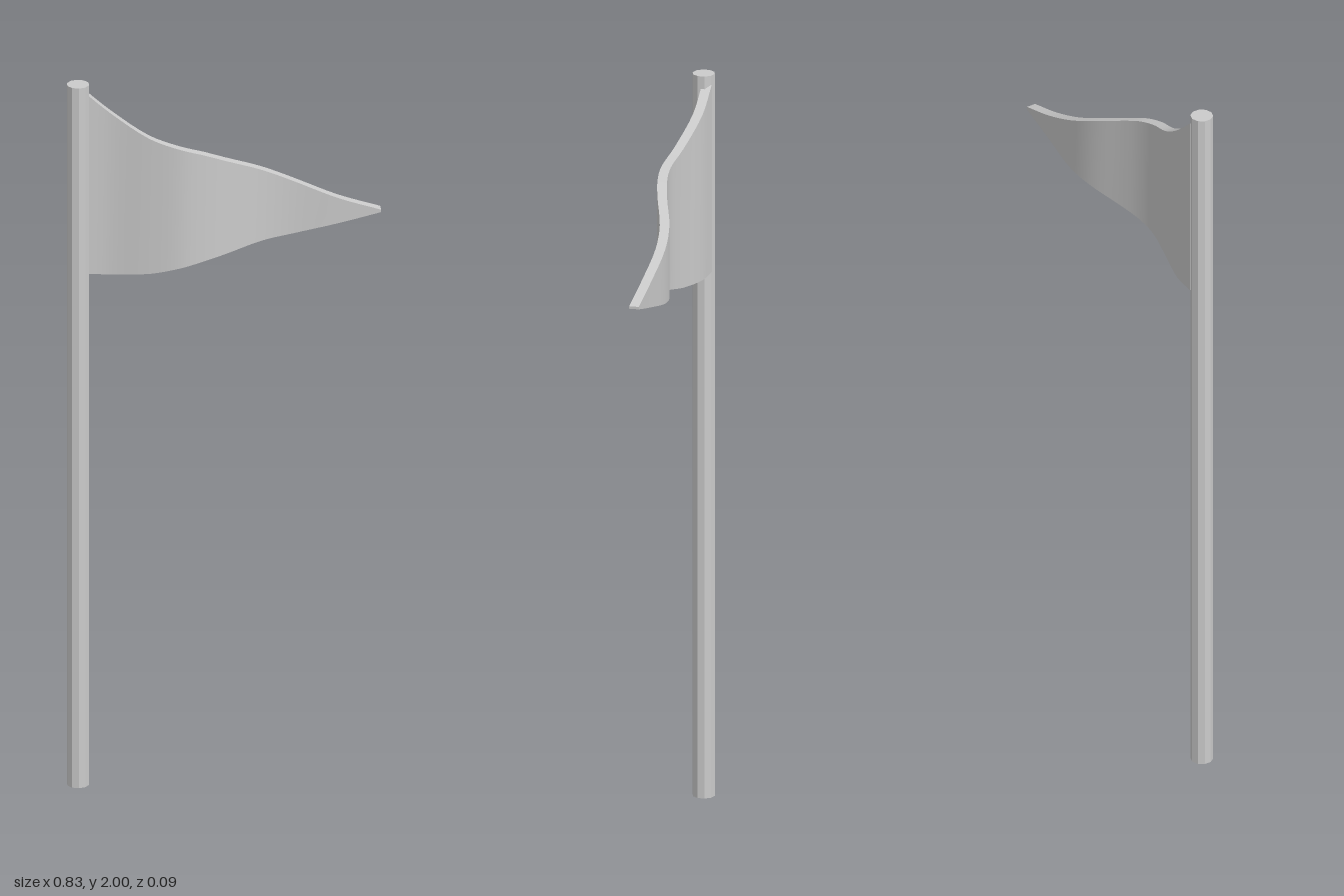
import * as THREE from 'three';

const grey = (flatShading) => new THREE.MeshStandardMaterial({ color: 0xcccccc, flatShading });

// Stations along the pennant: x, top edge y, bottom edge y, wave z
const stations = [
  [-0.37, 1.975, 1.457, -0.021],
  [-0.30, 1.915, 1.456, -0.014],
  [-0.20, 1.850, 1.465, 0.013],
  [-0.12, 1.822, 1.484, 0.028],
  [-0.06, 1.803, 1.499, 0.023],
  [0.00, 1.778, 1.512, 0.008],
  [0.10, 1.735, 1.534, -0.023],
  [0.18, 1.698, 1.547, -0.032],
  [0.30, 1.647, 1.575, -0.024],
  [0.413, 1.612, 1.605, -0.018],
];

// Pennant: a thin box bent to follow the stations
function createPennant() {
  const curveOf = (k) => new THREE.CatmullRomCurve3(
    stations.map((s) => new THREE.Vector3(s[0], s[k], s[3])), false, 'centripetal');
  const top = curveOf(1);
  const bottom = curveOf(2);
  const thickness = 0.026;
  const geometry = new THREE.BoxGeometry(1, 1, 1, 36, 1, 1);
  const pos = geometry.attributes.position;
  const a = new THREE.Vector3();
  const b = new THREE.Vector3();
  for (let i = 0; i < pos.count; i++) {
    const t = THREE.MathUtils.clamp(pos.getX(i) + 0.5, 0, 1);
    top.getPoint(t, a);
    bottom.getPoint(t, b);
    const edge = pos.getY(i) > 0 ? a : b;
    const z = (a.z + b.z) / 2 + pos.getZ(i) * thickness;
    pos.setXYZ(i, (a.x + b.x) / 2, edge.y, z);
  }
  geometry.computeVertexNormals();
  const mesh = new THREE.Mesh(geometry, grey(false));
  mesh.name = 'pennant';
  return mesh;
}

export function createModel() {
  const model = new THREE.Group();
  model.name = 'pennantFlag';

  // Ten-sided pole
  const pole = new THREE.Mesh(new THREE.CylinderGeometry(0.03, 0.03, 2, 10), grey(true));
  pole.name = 'pole';
  pole.position.set(-0.387, 1, -0.008);

  model.add(pole, createPennant());
  return model;
}
